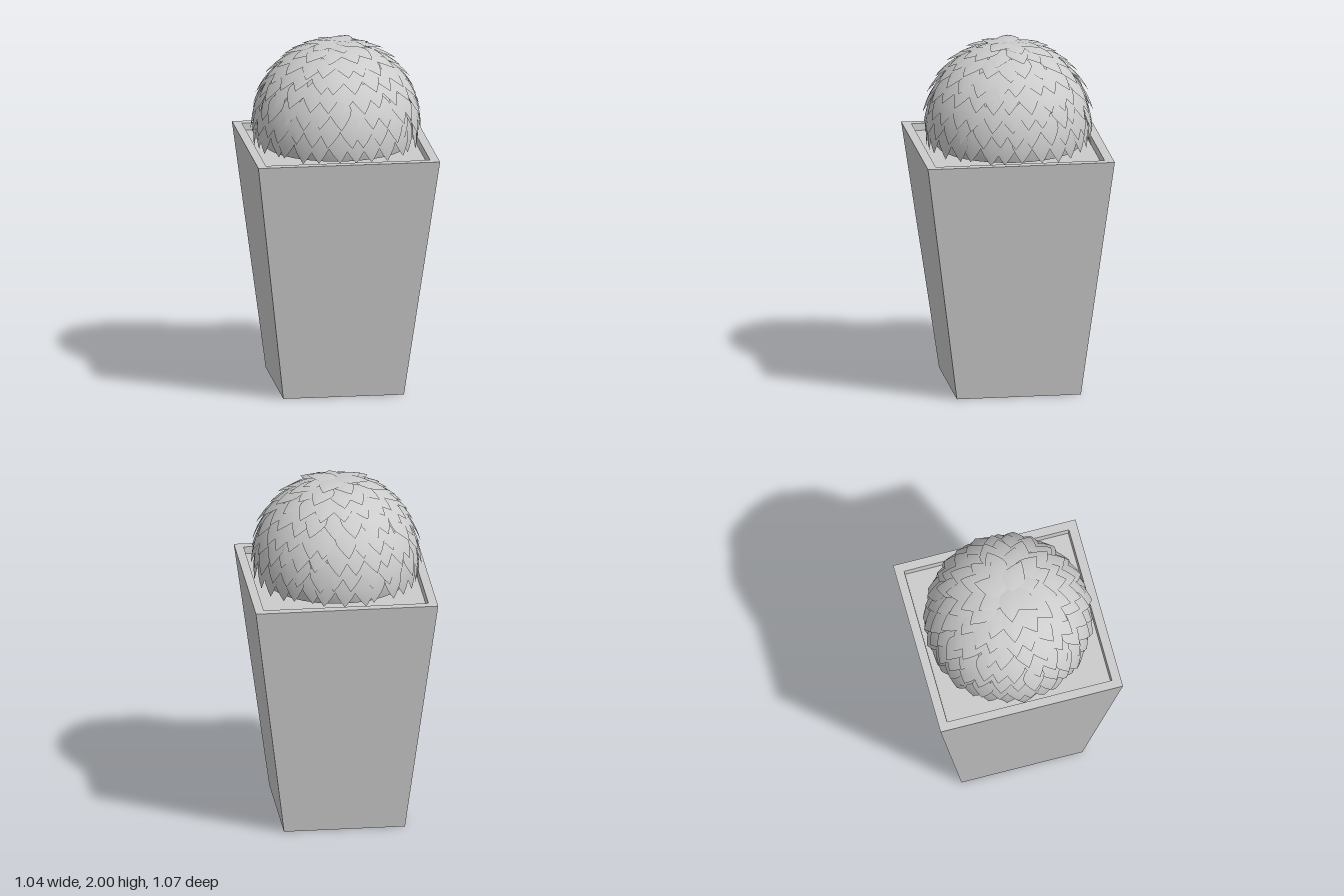
import * as THREE from 'three';
import { mergeGeometries } from 'three/addons/utils/BufferGeometryUtils.js';

const RIM = 1.405, SOIL = 1.365;
const CENTRE = 1.51; // height of the dome's centre

function seeded(seed) {
  return () => (seed = (seed * 16807) % 2147483647) / 2147483647;
}

// Four-sided surface from a profile of [half width, height]
function squareLathe(profile) {
  const points = profile.map(([w, y]) => new THREE.Vector2(w * Math.SQRT2, y));
  const geo = new THREE.LatheGeometry(points, 4, Math.PI / 4).toNonIndexed();
  geo.scale(1, 1, 1.029);
  // slight lean of the foot
  const p = geo.attributes.position;
  for (let i = 0; i < p.count; i++) {
    const t = 1 - p.getY(i) / RIM;
    p.setXYZ(i, p.getX(i) - 0.005 * t, p.getY(i), p.getZ(i) - 0.012 * t);
  }
  geo.computeVertexNormals();
  return geo;
}

// Pointed leaf lying on the dome, base at the pole, tip towards +z
function leafGeometry() {
  const widths = [0.012, 0.036, 0.054, 0.062, 0.058, 0.043, 0.024, 0.001];
  const pos = [], index = [];
  widths.forEach((w, i) => {
    const t = i / (widths.length - 1), a = t * 0.43;
    const r = 0.452 + 0.028 * t;
    for (const s of [-1, 0, 1]) {
      const rr = r - Math.abs(s) * w * 0.14; // fold along the midrib
      pos.push(s * w, rr * Math.cos(a), rr * Math.sin(a));
    }
    if (i === 0) return;
    for (let j = 0; j < 2; j++) {
      const p = (i - 1) * 3 + j, q = p + 3;
      index.push(p, q, p + 1, q, q + 1, p + 1);
    }
  });
  const geo = new THREE.BufferGeometry();
  geo.setAttribute('position', new THREE.Float32BufferAttribute(pos, 3));
  geo.setIndex(index);
  geo.computeVertexNormals();
  return geo;
}

export function createModel() {
  const group = new THREE.Group();
  const add = (name, geo, options = {}) => {
    const mesh = new THREE.Mesh(geo, new THREE.MeshStandardMaterial({ color: 0xcccccc, ...options }));
    mesh.name = name;
    group.add(mesh);
    return mesh;
  };

  // Tapered square pot with a flat rim and recessed soil
  add('pot', squareLathe([[0, 0], [0.345, 0], [0.52, RIM], [0.47, RIM], [0.465, SOIL]]), { flatShading: true });
  add('soil', squareLathe([[0.465, SOIL], [0, SOIL]]), { flatShading: true });

  // Solid heart of the plant, under the leaves
  add('core', new THREE.SphereGeometry(0.43, 32, 16, 0, Math.PI * 2, 0, 1.9)).position.y = CENTRE;

  // Overlapping rings of leaves, from the crown down to the soil
  const random = seeded(7);
  const jitter = (amount) => (random() - 0.5) * amount;
  const leaf = leafGeometry();
  const leaves = [];
  const rows = 8;
  for (let row = 0; row < rows; row++) {
    const tip = 0.42 + (row / (rows - 1)) * 1.44;
    const count = Math.round((Math.PI * 2 * 0.47 * Math.sin(tip - 0.18)) / 0.1);
    for (let i = 0; i < count; i++) {
      const size = 1 + (i % 2) * 0.012 + jitter(0.015);
      const geo = leaf.clone();
      geo.rotateY(jitter(0.25)); // twist about its own base
      geo.rotateX(tip - 0.43 + jitter(0.05));
      geo.rotateY(((i + (row % 2) / 2) / count) * Math.PI * 2 + jitter(0.05));
      geo.scale(size, size, size);
      leaves.push(geo);
    }
  }
  add('leaves', mergeGeometries(leaves), { side: THREE.DoubleSide }).position.y = CENTRE;

  // Trim to the full height
  const top = new THREE.Box3().setFromObject(group.getObjectByName('leaves')).max.y;
  for (const name of ['leaves', 'core']) group.getObjectByName(name).position.y += 2 - top;
  return group;
}
